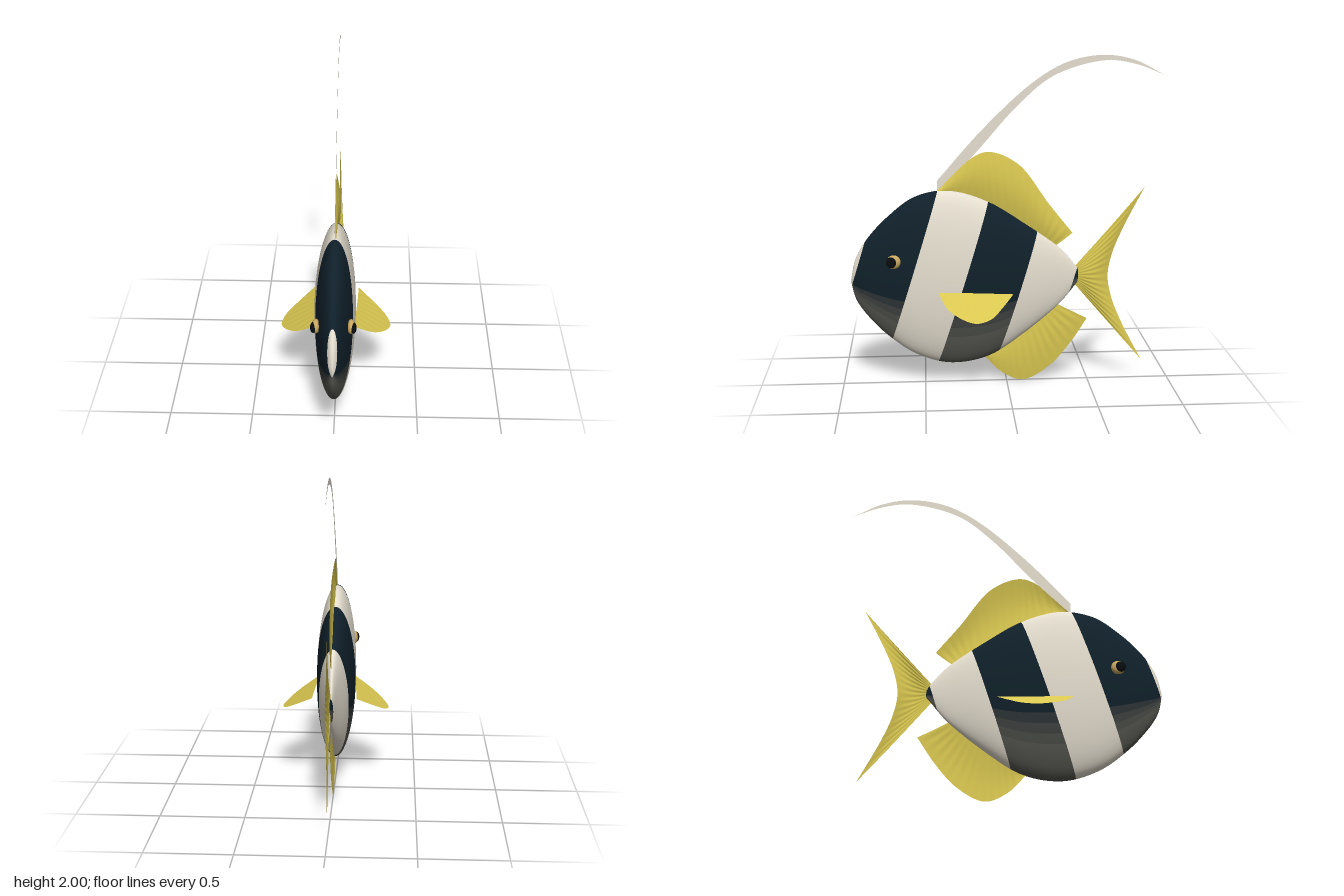
import * as THREE from 'three';

const WHITE = 0xe6dfd0, DARK = 0x10202a, BELLY = 0x55564f, YELLOW = 0xd8c650;
const V = (x, y, z) => new THREE.Vector3(x, y, z);
const mat = (color, side = THREE.FrontSide) => new THREE.MeshStandardMaterial({ color, side });

// Grid surface from f(u, v); optional normal function n(u, v)
function surface(name, nu, nv, f, material, n) {
  const pos = [], nor = [], idx = [];
  for (let j = 0; j <= nv; j++) for (let i = 0; i <= nu; i++) {
    pos.push(...f(i / nu, j / nv).toArray());
    if (n) nor.push(...n(i / nu, j / nv).toArray());
    if (i < nu && j < nv) {
      const a = j * (nu + 1) + i, b = a + nu + 1;
      idx.push(a, a + 1, b, a + 1, b + 1, b);
    }
  }
  const g = new THREE.BufferGeometry();
  g.setAttribute('position', new THREE.Float32BufferAttribute(pos, 3));
  g.setIndex(idx);
  if (n) g.setAttribute('normal', new THREE.Float32BufferAttribute(nor, 3));
  else g.computeVertexNormals();
  const mesh = new THREE.Mesh(g, material);
  mesh.name = name;
  return mesh;
}

// Body stations from tail to nose: z, top, bottom, half width
const STATIONS = [
  [-0.45, 0.68, 0.64, 0], [-0.42, 0.73, 0.605, 0.012], [-0.31, 0.85, 0.475, 0.037],
  [-0.1, 1.0, 0.3, 0.087], [0.11, 1.13, 0.165, 0.113], [0.34, 1.2, 0.125, 0.122],
  [0.55, 1.165, 0.185, 0.11], [0.72, 1.04, 0.305, 0.083], [0.84, 0.91, 0.43, 0.053],
  [0.91, 0.79, 0.535, 0.027], [0.94, 0.665, 0.645, 0],
];
const outline = new THREE.CatmullRomCurve3(STATIONS.map(s => V(s[0], s[1], s[2])), false, 'catmullrom');
const widths = new THREE.CatmullRomCurve3(STATIONS.map(s => V(s[3], 0, 0)), false, 'catmullrom');

function bodyPoint(angle, t) {
  const o = outline.getPoint(t), w = Math.max(0, widths.getPoint(t).x);
  return V(w * Math.cos(angle), (o.y + o.z) / 2 + (o.y - o.z) / 2 * Math.sin(angle), o.x);
}

function bodyNormal(angle, t) {
  const e = 0.003, c = THREE.MathUtils.clamp(t, 0.008, 0.992);
  const da = bodyPoint(angle + e, c).sub(bodyPoint(angle - e, c));
  const dt = bodyPoint(angle, c + e).sub(bodyPoint(angle, c - e));
  return da.cross(dt).normalize();
}

// Where the slanted stripe line z + 0.31 y = c first crosses a body line
function crossing(angle, c) {
  const N = 160, level = t => { const p = bodyPoint(angle, t); return p.z + 0.31 * p.y - c; };
  let last = level(0);
  if (last >= 0) return 0;
  for (let i = 1; i <= N; i++) {
    const now = level(i / N);
    if (now >= 0) return (i - 1 - last / (now - last)) / N;
    last = now;
  }
  return 1;
}

function bodyPatch(name, from, to, c0, c1, color, nu) {
  const limits = [];
  for (let i = 0; i <= nu; i++) {
    const a = from + (to - from) * i / nu;
    limits.push([a, c0 === null ? 0 : crossing(a, c0), c1 === null ? 1 : crossing(a, c1)]);
  }
  const at = fn => (u, v) => {
    const [a, t0, t1] = limits[Math.round(u * nu)];
    return fn(a, t0 + (t1 - t0) * v);
  };
  return surface(name, nu, 28, at(bodyPoint), mat(color), at(bodyNormal));
}

// Thin sheet between a base curve and an edge curve, with fine rays
function sheet(name, base, edge, color, sway = 0, rays = 0) {
  const curve = pts => new THREE.CatmullRomCurve3(pts.map(p => p.length === 3 ? V(...p) : V(0, p[1], p[0])), false, 'centripetal');
  const b = curve(base), e = curve(edge);
  return surface(name, rays ? rays * 6 : 60, 12, (u, v) => {
    const p = b.getPoint(u).lerp(e.getPoint(u), v);
    p.x += sway * Math.sin(Math.PI * v) * Math.sin(Math.PI * (0.1 + 0.8 * u));
    if (rays) p.x += 0.0015 * Math.sin(Math.PI * v) * Math.sin(2 * Math.PI * rays * u);
    return p;
  }, mat(color, THREE.DoubleSide));
}

function ellipsoid(name, r, center, color) {
  const m = new THREE.Mesh(new THREE.SphereGeometry(1, 28, 18), mat(color));
  m.name = name;
  m.scale.set(...r);
  m.position.set(...center);
  return m;
}

export function createModel() {
  const fish = new THREE.Group();
  fish.name = 'stripedFish';

  // Striped body, with the dark bands fading to a paler belly
  const body = new THREE.Group();
  body.name = 'body';
  const lines = [null, -0.21, 0.107, 0.462, 0.787, 1.13, null];
  const fade = [0.3, 0.43, 0.56, 0.7, Math.PI / 2];
  for (let k = 0; k < 6; k++) {
    const c0 = lines[k], c1 = lines[k + 1];
    if (k % 2) {
      body.add(bodyPatch('paleBand', -Math.PI / 2, Math.PI * 1.5, c0, c1, WHITE, 72));
      continue;
    }
    body.add(bodyPatch('darkBand', -fade[0], Math.PI + fade[0], c0, c1, DARK, 48));
    for (let i = 0; i < 4; i++) {
      const color = new THREE.Color(DARK).lerp(new THREE.Color(BELLY), (i + 1) / 4);
      body.add(bodyPatch('bellyShade', -fade[i + 1], -fade[i], c0, c1, color, 8));
      body.add(bodyPatch('bellyShade', Math.PI + fade[i], Math.PI + fade[i + 1], c0, c1, color, 8));
    }
  }
  fish.add(body);

  // Fins along the middle, points as z, y
  fish.add(sheet('dorsalFin',
    [[0.41, 1.18], [0.2, 1.14], [0, 1.03], [-0.18, 0.92], [-0.295, 0.85]],
    [[0.415, 1.2], [0.2, 1.4], [0.1, 1.43], [-0.07, 1.355], [-0.26, 1.105], [-0.4, 0.93]], YELLOW, 0.022, 16));
  fish.add(sheet('analFin',
    [[0.14, 0.18], [0.0, 0.26], [-0.12, 0.34], [-0.22, 0.41], [-0.31, 0.485]],
    [[0.14, 0.165], [0.03, 0.055], [-0.1, 0.003], [-0.26, 0.085], [-0.39, 0.23], [-0.495, 0.39]], YELLOW, 0.01, 14));
  fish.add(sheet('tailFin',
    [[-0.42, 0.725], [-0.42, 0.665], [-0.42, 0.605]],
    [[-0.835, 1.205], [-0.71, 0.96], [-0.645, 0.8], [-0.62, 0.66], [-0.645, 0.52], [-0.71, 0.36], [-0.835, 0.12]], YELLOW, 0.028, 16));

  // Long trailing streamer
  fish.add(sheet('streamer',
    [[0.416, 1.19], [0.19, 1.42], [-0.07, 1.71], [-0.28, 1.88], [-0.58, 1.968], [-0.77, 1.945], [-0.94, 1.88]],
    [[0.416, 1.26], [0.14, 1.57], [-0.16, 1.845], [-0.36, 1.96], [-0.575, 2.0], [-0.76, 1.97], [-0.94, 1.88]], WHITE));

  // Paired fins and eyes
  for (const s of [1, -1]) {
    const side = s > 0 ? 'left' : 'right';
    const tilt = ([x, z]) => [s * x, 0.6 - 0.62 * (x - 0.12), z];
    fish.add(sheet(side + 'PectoralFin',
      [[0.115, 0.415], [0.122, 0.27], [0.13, 0.12], [0.135, -0.025]].map(tilt),
      [[0.12, 0.415], [0.23, 0.365], [0.305, 0.275], [0.332, 0.195], [0.305, 0.11], [0.225, 0.035], [0.14, -0.03]].map(tilt), YELLOW, 0, 10));
    fish.add(ellipsoid(side + 'EyeRing', [0.024, 0.042, 0.042], [s * 0.1, 0.79, 0.68], 0xc9a860));
    fish.add(ellipsoid(side + 'Pupil', [0.02, 0.033, 0.033], [s * 0.111, 0.79, 0.692], 0x0a0d10));
  }
  return fish;
}
